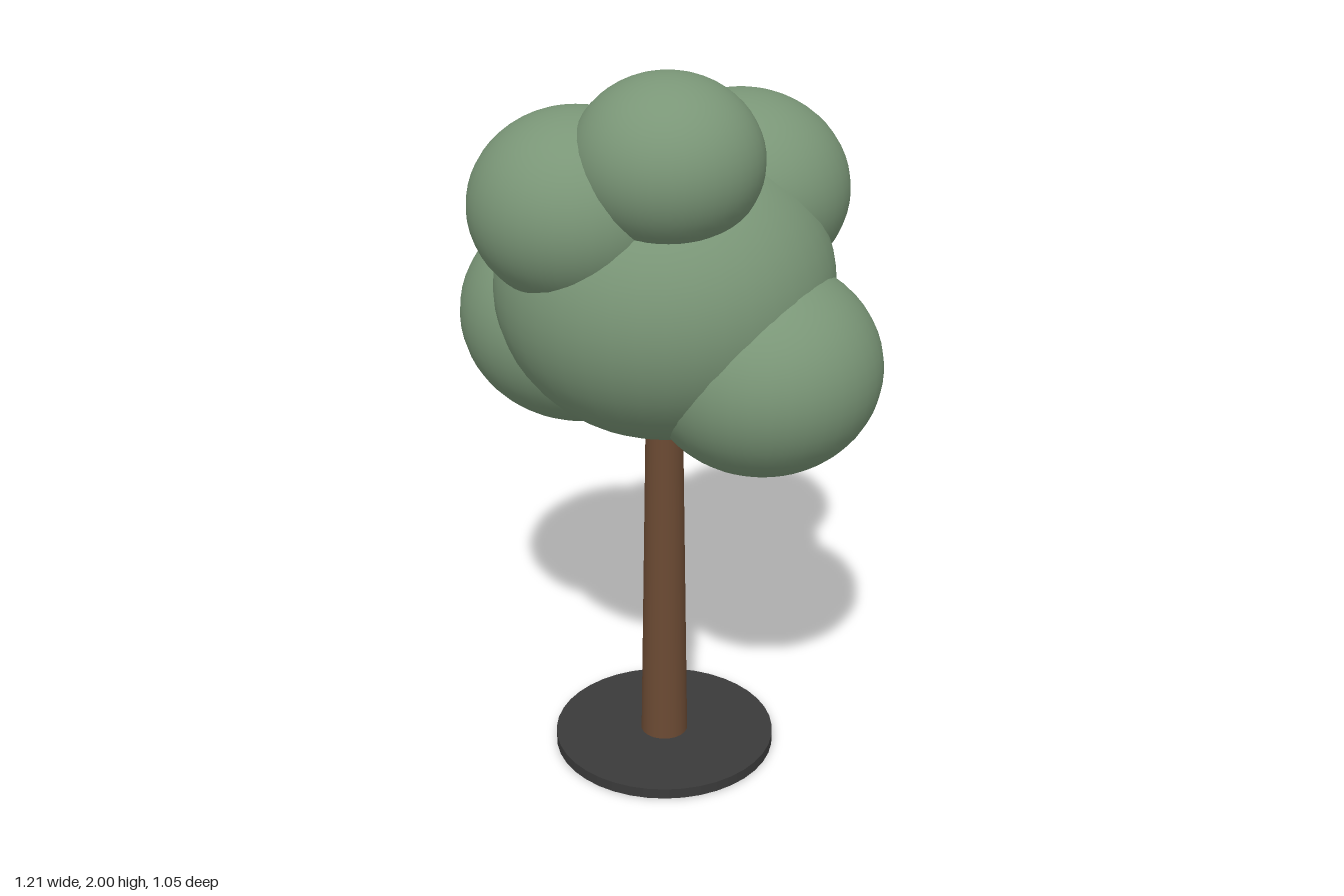
import * as THREE from 'three';

const mat = (name, color) => {
  const m = new THREE.MeshStandardMaterial({ color });
  m.name = name;
  return m;
};

export function createModel() {
  const tree = new THREE.Group();
  tree.name = 'tree';
  const leafGreen = mat('leafGreen', 0x7a9677);
  const barkBrown = mat('barkBrown', 0x6b4a33);
  const baseGrey = mat('baseGrey', 0x3a3a3a);

  const add = (name, geometry, material, x, y, z) => {
    const mesh = new THREE.Mesh(geometry, material);
    mesh.name = name;
    mesh.position.set(x, y, z);
    tree.add(mesh);
    return mesh;
  };

  // Round ground disc and tapered trunk
  add('base', new THREE.CylinderGeometry(0.313, 0.313, 0.03, 40), baseGrey, 0.008, 0.015, 0.008);
  add('trunk', new THREE.CylinderGeometry(0.048, 0.067, 1.17, 20), barkBrown, 0.008, 0.615, 0.008);

  // Crown of slightly flattened balls: name, radius, centre
  const crown = [
    ['crownCore', 0.447, 0.01, 1.4, 0.008],
    ['crownRight', 0.333, -0.272, 1.26, 0.04],
    ['crownLeft', 0.312, 0.29, 1.225, -0.063],
    ['crownFront', 0.275, -0.06, 1.648, 0.25],
    ['crownBack', 0.29, 0.045, 1.61, -0.24],
    ['crownTop', 0.24, 0.155, 1.784, 0.147],
  ];
  for (const [name, radius, x, y, z] of crown) {
    add(name, new THREE.SphereGeometry(radius, 40, 28), leafGreen, x, y, z).scale.y = 0.9;
  }
  return tree;
}
